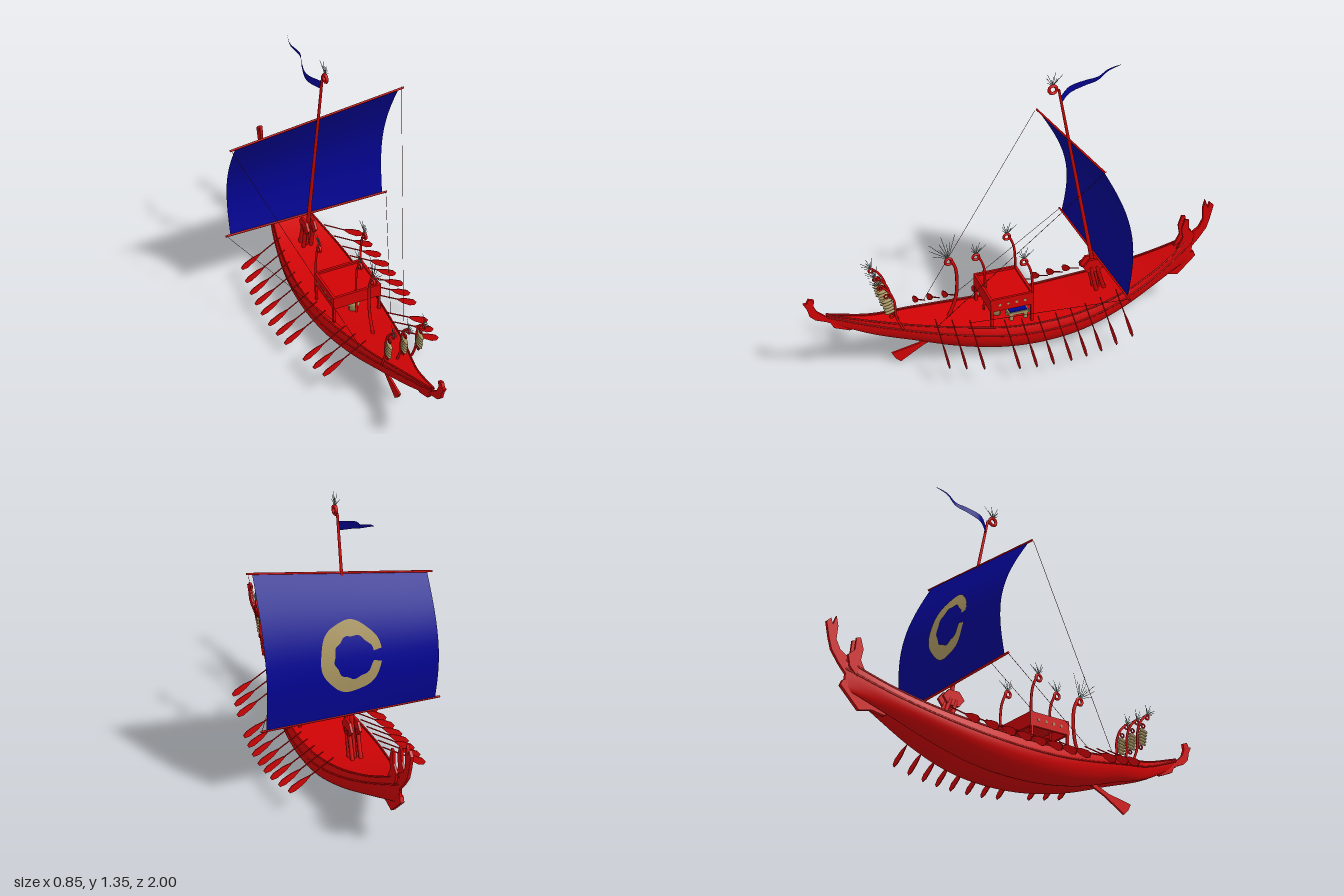
import * as THREE from 'three';

const V = (x, y, z) => new THREE.Vector3(x, y, z);
const material = (name, color) => {
  const m = new THREE.MeshStandardMaterial({ color, side: THREE.DoubleSide });
  m.name = name;
  return m;
};

export function createModel() {
  const red = material('red paint', 0xd00305);
  const blue = material('blue cloth', 0x040492);
  const tan = material('tan', 0xa89460);
  const dark = material('dark rope', 0x54100c);
  const feather = material('grey green feather', 0x66756c);

  const model = new THREE.Group();
  model.name = 'sailingBoat';
  const add = (name, geometry, mat, parent = model) => {
    const mesh = new THREE.Mesh(geometry, mat);
    mesh.name = name;
    parent.add(mesh);
    return mesh;
  };
  const box = (name, mat, w, h, d, x, y, z) =>
    add(name, new THREE.BoxGeometry(w, h, d).translate(x, y, z), mat);

  // Straight rod between two points
  const rod = (name, mat, a, b, r0, r1 = r0, sides = 6, parent = model) => {
    const mesh = add(name, new THREE.CylinderGeometry(r1, r0, a.distanceTo(b), sides), mat, parent);
    mesh.position.copy(a).lerp(b, 0.5);
    mesh.quaternion.setFromUnitVectors(V(0, 1, 0), b.clone().sub(a).normalize());
    return mesh;
  };

  // Flat plate drawn in side outline as [z, y] points
  const plate = (name, mat, points, thickness, x = 0) => {
    const shape = new THREE.Shape(points.map(p => new THREE.Vector2(p[0], p[1])));
    const g = new THREE.ExtrudeGeometry(shape, { depth: thickness, bevelEnabled: false });
    return add(name, g.rotateY(-Math.PI / 2).translate(x + thickness / 2, 0, 0), mat);
  };

  // Surface through rows of points
  const loft = rows => {
    const n = rows[0].length, index = [];
    for (let i = 0; i < rows.length - 1; i++) {
      for (let j = 0; j < n - 1; j++) {
        const a = i * n + j, b = a + n;
        index.push(a, b, a + 1, b, b + 1, a + 1);
      }
    }
    const g = new THREE.BufferGeometry().setFromPoints(rows.flat());
    g.setIndex(index);
    g.computeVertexNormals();
    return g;
  };

  // Hull stations from z = 0.9 to -0.9: half width, gunwale height, bottom height
  const stations = new THREE.CatmullRomCurve3([
    V(0.005, 0.35, 0.31), V(0.031, 0.285, 0.205), V(0.083, 0.245, 0.14), V(0.122, 0.21, 0.075),
    V(0.152, 0.182, 0.035), V(0.166, 0.175, 0.025), V(0.16, 0.188, 0.045), V(0.128, 0.222, 0.1),
    V(0.074, 0.285, 0.175), V(0.006, 0.38, 0.255),
  ], false, 'catmullrom', 0.5);
  const hullAt = z => stations.getPoint((0.9 - z) / 1.8);
  const zs = Array.from({ length: 61 }, (_, i) => 0.9 - 0.03 * i);

  // Twin-bellied section: fraction of half width, fraction of height
  const half = new THREE.SplineCurve([[0.93, 1], [1, 0.72], [0.97, 0.42], [0.82, 0.16], [0.62, 0.03], [0.43, 0],
    [0.22, 0.07], [0.06, 0.2], [0, 0.26]].map(p => new THREE.Vector2(...p))).getPoints(24);
  const section = [...half, ...half.slice(0, -1).reverse().map(p => new THREE.Vector2(-p.x, p.y))];
  add('hull', loft(zs.map(z => {
    const s = hullAt(z);
    return section.map(p => V(p.x * s.x, s.z + (s.y - s.z) * p.y, z));
  })), red);
  add('deck', loft(zs.map(z => {
    const s = hullAt(z);
    return [-0.93, 0, 0.93].map(x => V(x * s.x, s.y - 0.008, z));
  })), red);
  for (const side of [-1, 1]) {
    const rail = new THREE.CatmullRomCurve3(zs.map(z => V(side * hullAt(z).x * 0.94, hullAt(z).y, z)));
    add('gunwale', new THREE.TubeGeometry(rail, 60, 0.004, 6), red);
    const wale = new THREE.CatmullRomCurve3(zs.map(z => {
      const s = hullAt(z);
      return V(side * s.x, s.z + (s.y - s.z) * 0.7, z);
    }));
    add('sideMoulding', new THREE.TubeGeometry(wale, 60, 0.004, 6), red);
  }

  // Carved ends
  plate('sternHead', red, [[0.78, 0.30], [0.9, 0.34], [0.94, 0.375], [0.955, 0.41], [0.95, 0.44], [0.975, 0.45],
    [0.985, 0.43], [1, 0.43], [0.985, 0.4], [0.975, 0.36], [0.95, 0.335], [0.88, 0.305], [0.8, 0.26]], 0.014);
  plate('sternKeel', red, [[0.89, 0.315], [0.87, 0.275], [0.8, 0.245], [0.76, 0.25], [0.7, 0.23], [0.8, 0.3]], 0.016);
  plate('bowKeel', red, [[-0.68, 0.2], [-0.71, 0.18], [-0.77, 0.19], [-0.83, 0.175], [-0.92, 0.265], [-0.91, 0.29],
    [-0.8, 0.29]], 0.018);
  plate('bowHorn', red, [[-0.8, 0.31], [-0.87, 0.38], [-0.93, 0.42], [-0.95, 0.46], [-0.945, 0.52], [-0.955, 0.565],
    [-0.97, 0.52], [-0.98, 0.55], [-1, 0.53], [-0.985, 0.46], [-0.97, 0.41], [-0.93, 0.355], [-0.88, 0.3]], 0.014);
  for (const x of [-0.018, 0.018]) {
    plate('bowFinger', red, [[-0.81, 0.33], [-0.84, 0.39], [-0.83, 0.44], [-0.845, 0.49], [-0.865, 0.485],
      [-0.87, 0.43], [-0.9, 0.4], [-0.89, 0.35], [-0.85, 0.31]], 0.01, x);
  }

  // Spiral scroll crowned with a flat fan of feathers
  const scroll = (x, y, z, size, reach, lean) => {
    const g = new THREE.Group();
    g.name = 'featheredScroll';
    g.position.set(x, y, z);
    model.add(g);
    add('scroll', new THREE.TorusGeometry(size, size * 0.42, 6, 14).rotateY(Math.PI / 2), red, g);
    for (let i = 0; i < 9; i++) {
      const a = lean + (i - 4) * 0.16, r = reach * (0.8 + 0.2 * Math.cos(i * 2));
      const tip = V((i % 3 - 1) * 0.003, Math.cos(a) * r, Math.sin(a) * r);
      rod('feather', feather, V(0, size, 0), tip, 0.0014, 0.001, 4, g);
    }
  };
  // Curved post given as [z, y] points ending in a scroll
  const post = (name, x, points, r, size, reach, lean) => {
    const curve = new THREE.CatmullRomCurve3(points.map(p => V(x, p[1], p[0])));
    add(name, new THREE.TubeGeometry(curve, 16, r, 6), red);
    const end = points[points.length - 1];
    scroll(x, end[1] - size * 0.5, end[0] + size * 0.6, size, reach, lean);
  };

  // Stern ornaments with stacked leaves
  for (const x of [-0.075, 0, 0.075]) {
    post('sternOrnament', x, [[0.57, 0.24], [0.6, 0.32], [0.605, 0.4], [0.63, 0.46], [0.66, 0.49]], 0.006, 0.011, 0.065, 0.5);
    for (let i = 0; i < 5; i++) {
      add('sternLeaf', new THREE.SphereGeometry(1, 10, 6).scale(0.009, 0.008, 0.027).rotateX(0.25)
        .translate(x, 0.348 + i * 0.0155, 0.627 + i * 0.003), tan);
    }
    for (const [z, y] of [[0.64, 0.435], [0.62, 0.325]]) {
      add('smallScroll', new THREE.TorusGeometry(0.01, 0.004, 5, 12).rotateY(Math.PI / 2).translate(x, y, z), red);
    }
  }

  // Steering oar with its tall curved tiller
  post('tiller', 0, [[0.38, 0.12], [0.33, 0.21], [0.295, 0.3], [0.287, 0.4], [0.295, 0.47], [0.315, 0.51]], 0.008, 0.016, 0.14, 0.4);
  plate('steeringBlade', red, [[0.37, 0.135], [0.42, 0.115], [0.48, 0.09], [0.61, 0.065], [0.595, 0.035], [0.57, 0.01],
    [0.46, 0.075], [0.38, 0.11]], 0.01);

  // Cabin
  for (const x of [-0.115, 0.115]) {
    for (const z of [-0.035, 0.16]) box('cabinPost', red, 0.012, 0.14, 0.012, x, 0.24, z);
    box('cabinSideBand', red, 0.012, 0.065, 0.21, x, 0.295, 0.062);
    for (let i = 0; i < 4; i++) {
      add('bandStud', new THREE.CylinderGeometry(0.007, 0.007, 0.015, 8).rotateZ(Math.PI / 2)
        .translate(x, 0.295, i * 0.041), tan);
    }
    post('cabinPole', x, [[-0.035, 0.2], [-0.038, 0.35], [-0.03, 0.44], [-0.005, 0.505]], 0.006, 0.015, 0.075, -0.1);
  }
  for (const z of [-0.038, 0.162]) box('cabinEndBand', red, 0.24, 0.065, 0.012, 0, 0.295, z);
  box('cabinRoof', red, 0.23, 0.01, 0.2, 0, 0.312, 0.062);
  post('cabinFrontPole', 0, [[0.16, 0.2], [0.152, 0.35], [0.158, 0.44], [0.185, 0.505]], 0.006, 0.015, 0.075, -0.1);
  const urn = [[0, 0], [0.024, 0], [0.018, 0.012], [0.033, 0.035], [0.028, 0.052], [0.014, 0.064], [0.024, 0.078]];
  add('urn', new THREE.LatheGeometry(urn.map(p => new THREE.Vector2(...p)), 14).translate(0.01, 0.174, 0.105), tan);
  box('tableTop', tan, 0.07, 0.014, 0.1, 0.06, 0.209, 0.02);
  box('tableCloth', blue, 0.06, 0.004, 0.085, 0.06, 0.218, 0.02);
  for (const x of [0.035, 0.085]) {
    for (const z of [-0.015, 0.055]) box('tableLeg', tan, 0.012, 0.034, 0.018, x, 0.189, z);
  }

  // Mast, its step and braces
  rod('mast', red, V(0, 0.19, -0.413), V(0, 1.275, -0.198), 0.011, 0.006, 8);
  scroll(0, 1.28, -0.17, 0.018, 0.08, 0);
  const hex = Array.from({ length: 6 }, (_, i) => [-0.38 + 0.054 * Math.cos(i * Math.PI / 3), 0.335 + 0.04 * Math.sin(i * Math.PI / 3)]);
  for (const x of [-0.02, 0.02]) {
    plate('mastCheek', red, hex, 0.012, x);
    rod('mastBrace', red, V(x, 0.33, -0.365), V(x, 0.19, -0.4), 0.01);
    rod('mastBrace', red, V(x, 0.33, -0.395), V(x, 0.19, -0.44), 0.01);
  }

  // Sail bellying toward the bow, u across and v upward
  const sailPoint = (u, v, off = 0) => {
    const top = 0.965 + 0.115 * u;
    return V(-0.4 + 0.8 * u, 0.4 + (top - 0.4) * v,
      -0.385 + (0.125 + 0.02 * u) * v - 0.075 * Math.sin(Math.PI * v) - off);
  };
  const steps = n => Array.from({ length: n + 1 }, (_, i) => i / n);
  add('sail', loft(steps(20).map(v => steps(8).map(u => sailPoint(u, v)))), blue);
  rod('upperYard', red, V(-0.425, 0.963, -0.26), V(0.425, 1.082, -0.238), 0.005);
  rod('lowerYard', red, V(-0.425, 0.4, -0.383), V(0.425, 0.4, -0.383), 0.005);

  // Ragged, nearly closed crescent painted on the bow side of the sail
  add('sailCrescent', loft(steps(60).map(t => {
    const a = 0.2 + t * 5.9;
    const inner = 0.56 + 0.75 * (t - 0.5) ** 2 + 0.025 * Math.sin(t * 50);
    const outer = 1.02 + 0.02 * Math.sin(t * 37);
    return [inner, (inner + outer) / 2, outer].map(r =>
      sailPoint(0.515 - 0.175 * r * Math.cos(a), 0.46 + 0.25 * r * Math.sin(a), 0.004));
  })), tan);

  // Pennant
  const flutter = new THREE.CatmullRomCurve3([V(0, 1.222, -0.208), V(-0.045, 1.243, -0.268), V(-0.038, 1.267, -0.335),
    V(-0.022, 1.287, -0.39), V(-0.042, 1.31, -0.45), V(-0.034, 1.33, -0.505)]);
  add('pennant', loft(steps(24).map(t => {
    const p = flutter.getPoint(t), h = 0.02 * (1 - t) + 0.001;
    return [V(p.x, p.y - h, p.z), V(p.x, p.y + h, p.z)];
  })), blue);

  // Rigging and oars, mirrored to both sides
  const oarZ = [-0.455, -0.37, -0.29, -0.215, -0.14, -0.055, 0.025, 0.105, 0.265, 0.345, 0.42];
  const blade = new THREE.Shape([[0, -0.003], [0.04, -0.014], [0.09, -0.017], [0.115, -0.008], [0.115, 0.008],
    [0.09, 0.017], [0.04, 0.014], [0, 0.003]].map(p => new THREE.Vector2(...p)));
  for (const side of [-1, 1]) {
    rod('brace', dark, V(side * 0.42, side > 0 ? 1.08 : 0.965, -0.25), V(side * 0.11, 0.24, 0.42), 0.001, 0.001, 4);
    rod('sheet', dark, V(side * 0.42, 0.4, -0.383), V(side * 0.12, 0.23, 0.27), 0.001, 0.001, 4);
    for (const z of oarZ) {
      const s = hullAt(z), g = new THREE.Group();
      g.name = 'oar';
      g.position.set(side * (s.x - 0.02), s.y + 0.032, z);
      g.rotation.y = side > 0 ? 0 : Math.PI;
      model.add(g);
      const arm = new THREE.Group();
      arm.name = 'oarArm';
      arm.rotation.z = -0.55;
      g.add(arm);
      rod('oarShaft', red, V(0, 0, 0), V(0.14, 0, 0), 0.003, 0.003, 6, arm);
      add('oarBlade', new THREE.ExtrudeGeometry(blade, { depth: 0.004, bevelEnabled: false })
        .translate(0.13, 0, -0.002), red, arm);
    }
  }
  return model;
}
